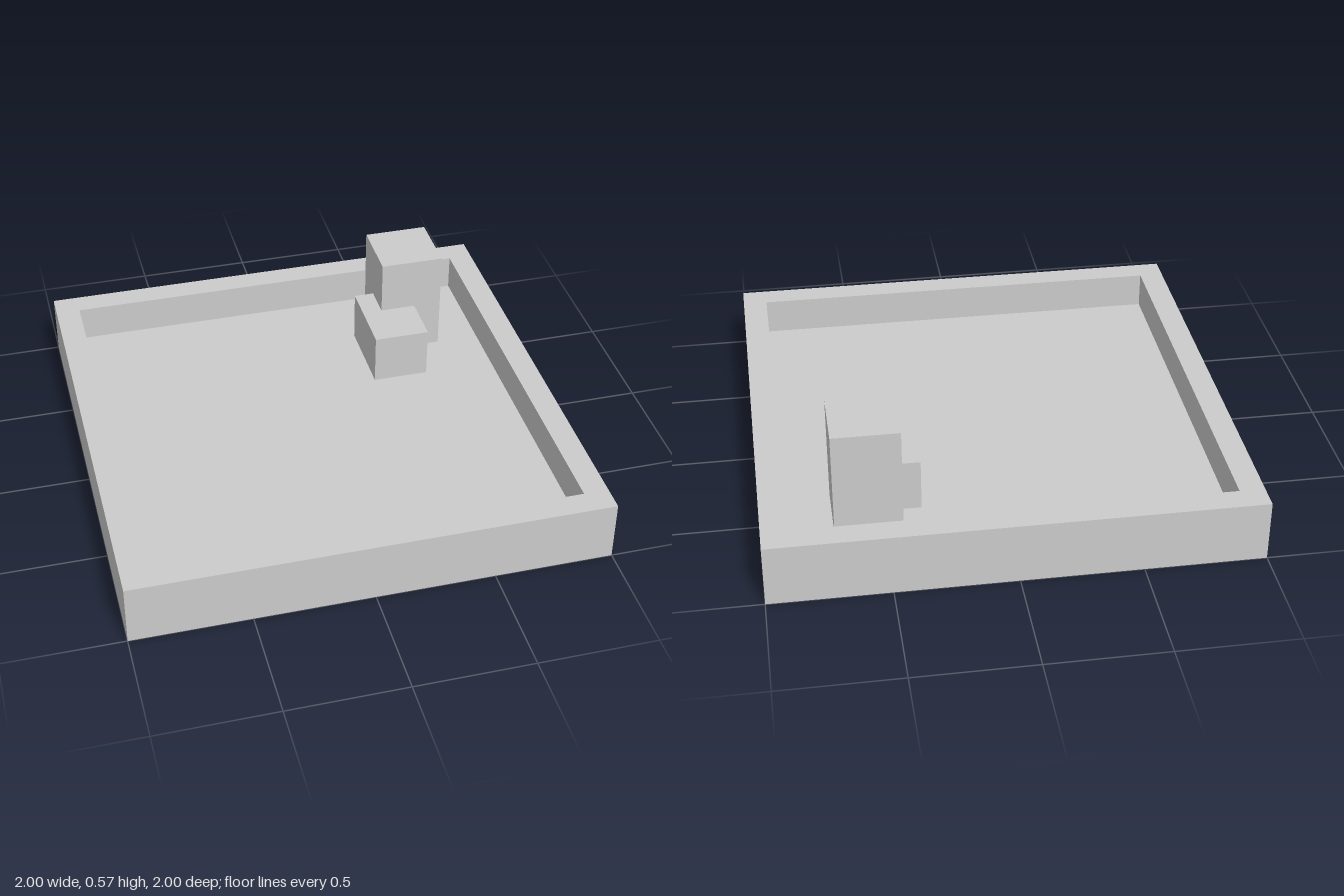
import * as THREE from 'three';

const material = new THREE.MeshStandardMaterial({
  color: 0xcccccc, flatShading: true, side: THREE.DoubleSide,
});

// Square tray shell: outer wall, rim, inner wall and raised floor, open underneath
function makeTray() {
  const profile = [[1, 0], [1, 0.265], [0.895, 0.265], [0.895, 0.107], [0, 0.107]]
    .map(([half, y]) => new THREE.Vector2(half * Math.SQRT2, y));
  const geometry = new THREE.LatheGeometry(profile, 4, Math.PI / 4).toNonIndexed();
  geometry.computeVertexNormals();
  const mesh = new THREE.Mesh(geometry, material);
  mesh.name = 'tray';
  return mesh;
}

// Box given by its limits on each axis
function makeBlock(name, [x0, x1], [y0, y1], [z0, z1]) {
  const mesh = new THREE.Mesh(new THREE.BoxGeometry(x1 - x0, y1 - y0, z1 - z0), material);
  mesh.position.set((x0 + x1) / 2, (y0 + y1) / 2, (z0 + z1) / 2);
  mesh.name = name;
  return mesh;
}

export function createModel() {
  const model = new THREE.Group();
  model.name = 'trayWithBlocks';
  model.add(
    makeTray(),
    // Both blocks pass through the floor
    makeBlock('tallBlock', [0.43, 0.707], [0.09, 0.567], [-0.738, -0.463]),
    makeBlock('lowBlock', [0.343, 0.585], [0.015, 0.33], [-0.605, -0.248]),
  );
  return model;
}
